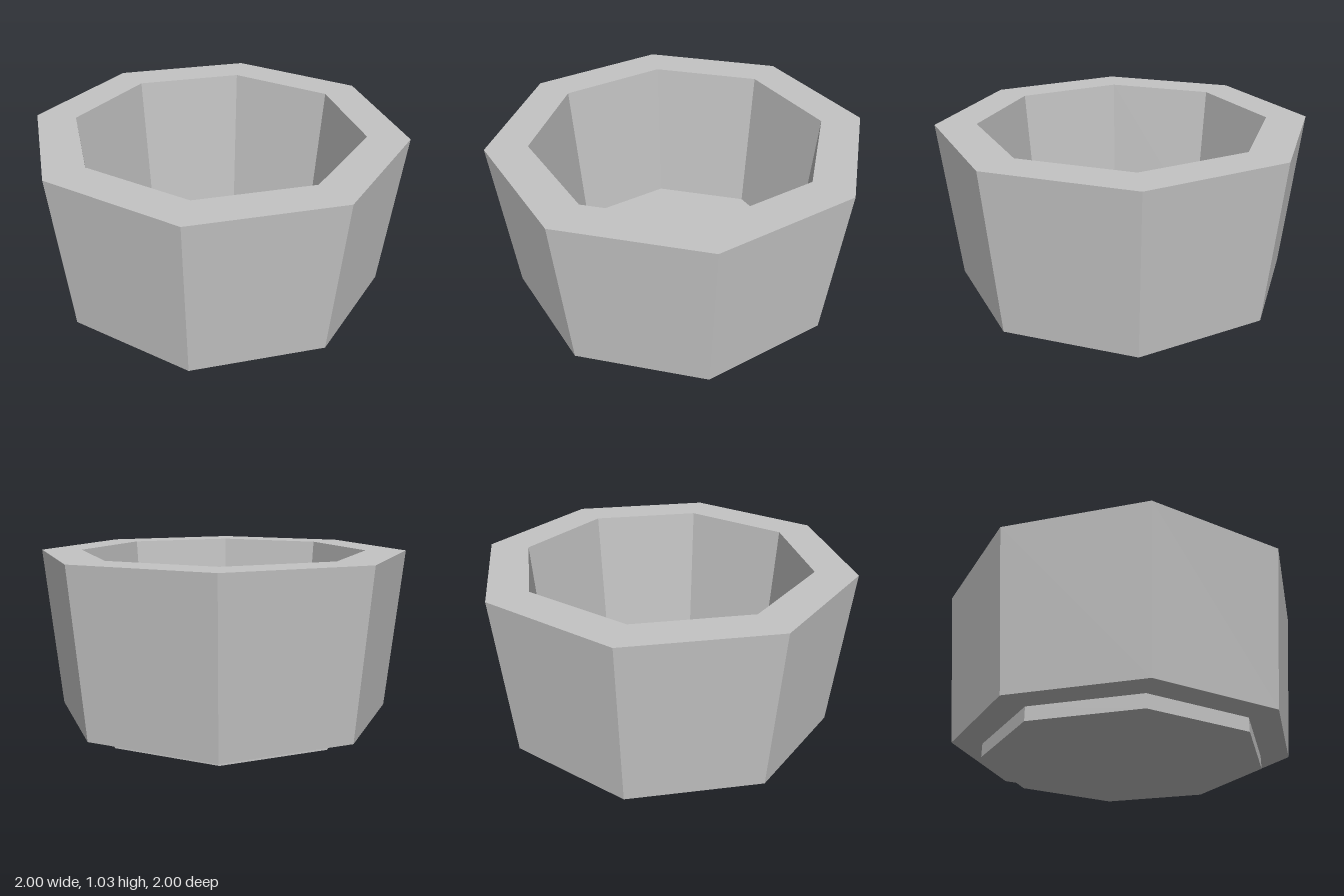
import * as THREE from 'three';

const SIDES = 8;
const toCorner = 1 / Math.cos(Math.PI / SIDES); // flat-side distance to corner radius

// Faceted octagonal solid from [distance to flat side, height] pairs
function octagonal(name, profile, material) {
  const points = profile.map(([d, y]) => new THREE.Vector2(d * toCorner, y));
  const geometry = new THREE.LatheGeometry(points, SIDES, Math.PI / SIDES).toNonIndexed();
  geometry.computeVertexNormals();
  const mesh = new THREE.Mesh(geometry, material);
  mesh.name = name;
  return mesh;
}

export function createModel() {
  const group = new THREE.Group();
  group.name = 'planter';
  const grey = new THREE.MeshStandardMaterial({ color: 0xc4c4c4 });
  grey.name = 'grey';

  // Tapered pot: underside, outer wall, flat rim, inner wall and floor
  group.add(octagonal('pot', [
    [0, 0.08], [0.917, 0.08], [1, 1.03], [0.78, 1.03], [0.714, 0.12], [0, 0.12],
  ], grey));

  // Recessed straight foot
  group.add(octagonal('foot', [[0, 0], [0.757, 0], [0.757, 0.08]], grey));

  return group;
}
